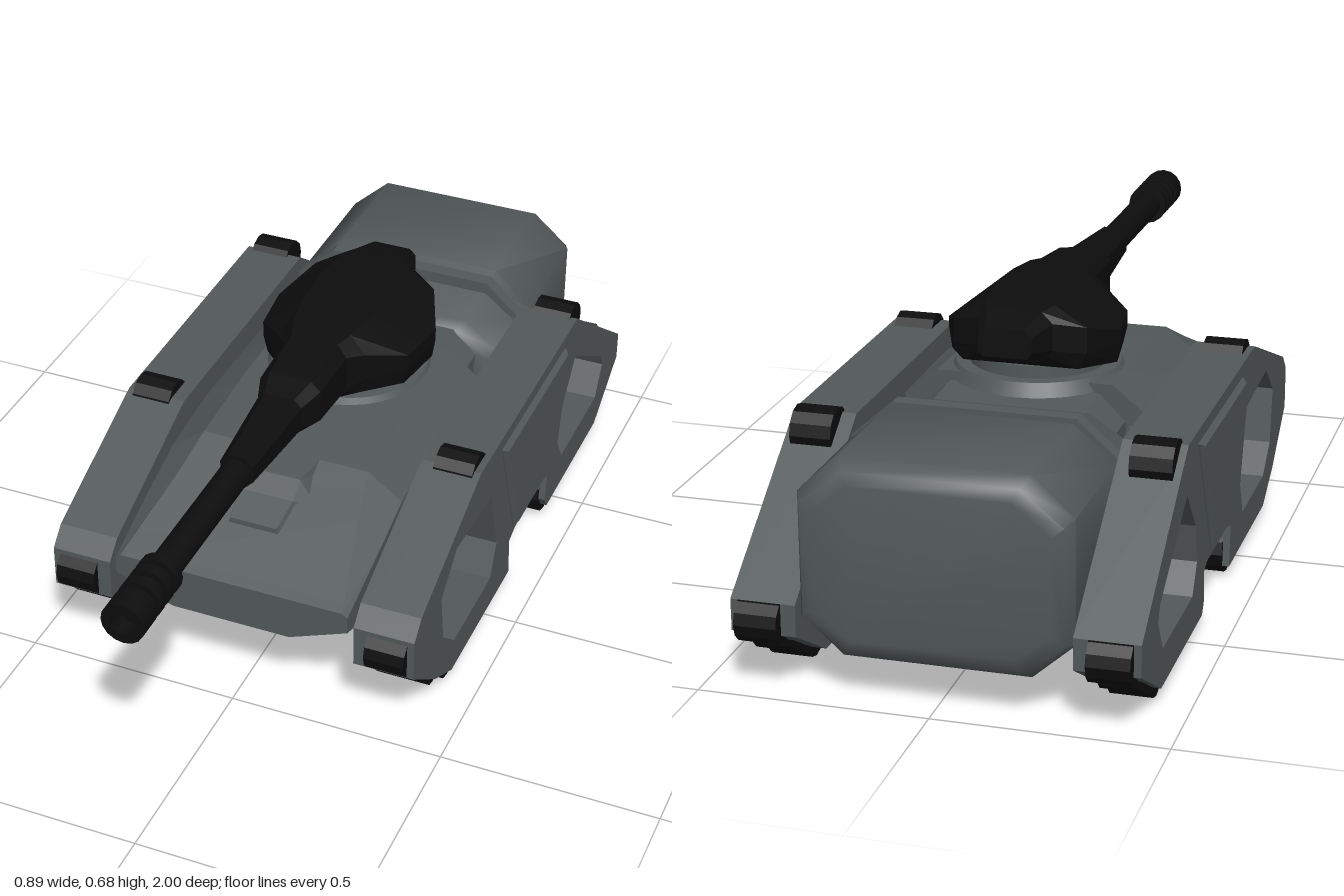
import * as THREE from 'three';
import { toCreasedNormals } from 'three/addons/utils/BufferGeometryUtils.js';

const armour = new THREE.MeshStandardMaterial({ name: 'armourGrey', color: 0x525858 });
const black = new THREE.MeshStandardMaterial({ name: 'gunBlack', color: 0x0d0d0d });

// Octagonal cross-section, counter-clockwise seen from the front
function oct(z, wt, yt, w, yu, yl, wb, yb) {
  return [[wb, yb], [w, yl], [w, yu], [wt, yt], [-wt, yt], [-w, yu], [-w, yl], [-wb, yb]]
    .map(([x, y]) => [x, y, z]);
}

// Skin over cross-sections ordered from back to front, with end caps
function loft(sections, crease = 0.1) {
  const pos = [];
  const tri = (a, b, c) => pos.push(...a, ...b, ...c);
  const n = sections[0].length;
  for (let i = 0; i < sections.length - 1; i++) {
    for (let j = 0; j < n; j++) {
      const k = (j + 1) % n;
      const [a, b, c, d] = [sections[i][j], sections[i][k], sections[i + 1][k], sections[i + 1][j]];
      tri(a, b, c);
      tri(a, c, d);
    }
  }
  const first = sections[0], last = sections[sections.length - 1];
  for (let j = 1; j < n - 1; j++) {
    tri(first[0], first[j + 1], first[j]);
    tri(last[0], last[j], last[j + 1]);
  }
  const geo = new THREE.BufferGeometry();
  geo.setAttribute('position', new THREE.Float32BufferAttribute(pos, 3));
  geo.computeVertexNormals();
  return toCreasedNormals(geo, crease);
}

const toShape = (pts) => new THREE.Shape(pts.map(([z, y]) => new THREE.Vector2(z, y)));

// Extrude a (z, y) outline across x
function sidePlate(shape, x0, x1, bevel = 0) {
  const geo = new THREE.ExtrudeGeometry(shape, {
    depth: x1 - x0 - 2 * bevel, bevelEnabled: bevel > 0, bevelSegments: 1,
    bevelThickness: bevel, bevelSize: bevel, bevelOffset: -bevel,
  });
  geo.rotateY(-Math.PI / 2);
  geo.translate(x1 - bevel, 0, 0);
  return geo;
}

export function createModel() {
  const group = new THREE.Group();
  group.name = 'tank';
  const add = (name, geo, mat, x = 0, y = 0, z = 0) => {
    const mesh = new THREE.Mesh(geo, mat);
    mesh.name = name;
    mesh.position.set(x, y, z);
    group.add(mesh);
    return mesh;
  };

  // Wedge-nosed hull
  add('hull', loft([
    oct(-0.31, 0.2, 0.5, 0.275, 0.44, 0.2, 0.2, 0.135),
    oct(0.0, 0.2, 0.495, 0.28, 0.44, 0.2, 0.2, 0.135),
    oct(0.19, 0.2, 0.48, 0.28, 0.42, 0.2, 0.2, 0.135),
    oct(0.3, 0.22, 0.425, 0.28, 0.385, 0.21, 0.2, 0.14),
    oct(0.5, 0.265, 0.33, 0.277, 0.32, 0.28, 0.14, 0.225),
  ]), armour);

  // Driver's hood on the front slope
  const hood = (z, wt, yt, wb, yb) => [[wb, yb, z], [wt, yt, z], [-wt, yt, z], [-wb, yb, z]];
  add('driverHood', loft([
    hood(0.14, 0.09, 0.484, 0.105, 0.44),
    hood(0.27, 0.07, 0.475, 0.105, 0.42),
    hood(0.3, 0.065, 0.435, 0.08, 0.4),
    hood(0.37, 0.055, 0.405, 0.065, 0.37),
  ]), armour);

  // Waist joining hull and rear compartment, with ribs underneath
  add('waist', loft([
    oct(-0.46, 0.17, 0.47, 0.23, 0.42, 0.23, 0.18, 0.17),
    oct(-0.28, 0.17, 0.48, 0.23, 0.42, 0.23, 0.18, 0.17),
  ]), armour);
  for (const z of [-0.34, -0.4]) {
    const rib = new THREE.CylinderGeometry(0.025, 0.025, 0.36, 12);
    rib.rotateZ(Math.PI / 2);
    add('waistRib', rib, armour, 0, 0.17, z);
  }

  // Rounded rear compartment and its seam band
  add('rearCompartment', loft([
    oct(-0.98, 0.17, 0.475, 0.25, 0.41, 0.2, 0.17, 0.14),
    oct(-0.972, 0.185, 0.502, 0.275, 0.43, 0.18, 0.185, 0.11),
    oct(-0.94, 0.2, 0.522, 0.29, 0.44, 0.17, 0.2, 0.09),
    oct(-0.64, 0.2, 0.525, 0.29, 0.44, 0.17, 0.2, 0.09),
    oct(-0.6, 0.2, 0.5, 0.29, 0.43, 0.17, 0.2, 0.09),
    oct(-0.46, 0.19, 0.485, 0.285, 0.42, 0.18, 0.19, 0.1),
    oct(-0.43, 0.18, 0.47, 0.265, 0.41, 0.19, 0.18, 0.12),
    oct(-0.415, 0.16, 0.44, 0.235, 0.39, 0.21, 0.16, 0.15),
  ], 0.9), armour);
  add('seamBand', loft([
    oct(-0.61, 0.2, 0.525, 0.296, 0.44, 0.17, 0.2, 0.085),
    oct(-0.575, 0.2, 0.525, 0.296, 0.44, 0.17, 0.2, 0.085),
  ]), armour);

  // Track pods with two openings each
  const pod = toShape([
    [0.5, 0.2], [0.5, 0.3], [0.46, 0.34], [0.1, 0.48], [-0.58, 0.48], [-0.97, 0.2], [-0.97, 0.13],
    [-0.8, 0.03], [-0.42, 0.03], [-0.4, 0.06], [-0.41, 0.125], [-0.38, 0.14], [-0.17, 0.14],
    [-0.13, 0.125], [-0.14, 0.03], [0.25, 0.03], [0.36, 0.09],
  ]);
  pod.holes.push(
    toShape([[0.335, 0.3], [0.245, 0.375], [0.02, 0.36], [-0.035, 0.19], [0, 0.11], [0.24, 0.11], [0.315, 0.17]]),
    toShape([[-0.5, 0.27], [-0.585, 0.37], [-0.755, 0.36], [-0.835, 0.19], [-0.79, 0.115], [-0.52, 0.115], [-0.48, 0.18]]),
  );
  const panel = toShape([[-0.04, 0.45], [-0.49, 0.45], [-0.35, 0.16], [-0.15, 0.16]]);

  // Track pads: z, y, radius
  const pads = [
    [0.475, 0.245, 0.05], [0.41, 0.17, 0.042], [0.33, 0.1, 0.045], [0.235, 0.05, 0.05],
    [0.13, 0.05, 0.05], [0.02, 0.05, 0.05], [-0.09, 0.058, 0.058], [-0.45, 0.058, 0.058],
    [-0.56, 0.05, 0.05], [-0.67, 0.05, 0.05], [-0.775, 0.05, 0.05], [-0.86, 0.095, 0.045],
    [-0.95, 0.155, 0.05], [0.07, 0.452, 0.052], [-0.605, 0.445, 0.054],
  ];
  for (const s of [1, -1]) {
    const side = s > 0 ? 'left' : 'right';
    const across = (shape, a, b, bevel) => sidePlate(shape, Math.min(s * a, s * b), Math.max(s * a, s * b), bevel);
    add(side + 'TrackPod', across(pod, 0.292, 0.432), armour);
    add(side + 'SidePanel', across(panel, 0.415, 0.445, 0.01), armour);
    add(side + 'PodMount', new THREE.BoxGeometry(0.06, 0.2, 0.25), armour, s * 0.27, 0.31, -0.2);
    for (const [z, y, r] of pads) {
      const geo = new THREE.CylinderGeometry(r, r, 0.092, 12);
      geo.rotateZ(Math.PI / 2);
      add(side + 'TrackPad', toCreasedNormals(geo, 0.3), black, s * 0.37, y, z);
    }
  }

  // Turret ring
  add('turretBase', new THREE.CylinderGeometry(0.185, 0.2, 0.03, 32), armour, 0, 0.495, -0.19);
  add('turretRing', new THREE.CylinderGeometry(0.155, 0.155, 0.06, 32), armour, 0, 0.508, -0.19);

  // Faceted turret running forward into the gun mantlet
  add('turret', loft([
    oct(-0.455, 0.045, 0.655, 0.06, 0.64, 0.605, 0.05, 0.59),
    oct(-0.38, 0.06, 0.675, 0.085, 0.65, 0.59, 0.07, 0.575),
    oct(-0.34, 0.08, 0.68, 0.15, 0.635, 0.575, 0.13, 0.54),
    oct(-0.23, 0.09, 0.682, 0.197, 0.6, 0.575, 0.19, 0.527),
    oct(-0.1, 0.085, 0.682, 0.18, 0.605, 0.57, 0.17, 0.527),
    oct(-0.02, 0.07, 0.68, 0.105, 0.635, 0.57, 0.09, 0.53),
    oct(0.02, 0.055, 0.675, 0.076, 0.645, 0.56, 0.06, 0.535),
    oct(0.16, 0.05, 0.662, 0.072, 0.64, 0.565, 0.05, 0.545),
    oct(0.22, 0.035, 0.648, 0.052, 0.63, 0.575, 0.035, 0.555),
    oct(0.45, 0.018, 0.638, 0.038, 0.618, 0.582, 0.018, 0.562),
  ]), black);

  // Barrel with a ribbed muzzle
  const profile = [[0.034, 0.3], [0.034, 0.82]];
  for (const z of [0.82, 0.86, 0.9]) profile.push([0.048, z], [0.048, z + 0.025], [0.036, z + 0.025], [0.036, z + 0.04]);
  profile.push([0.048, 0.94], [0.048, 1], [0.026, 1], [0.026, 0.96], [0, 0.96]);
  const barrel = new THREE.LatheGeometry(profile.map(([r, z]) => new THREE.Vector2(r, z)), 16);
  barrel.rotateX(Math.PI / 2);
  add('gunBarrel', toCreasedNormals(barrel, 0.6), black, 0, 0.6, 0);

  return group;
}
